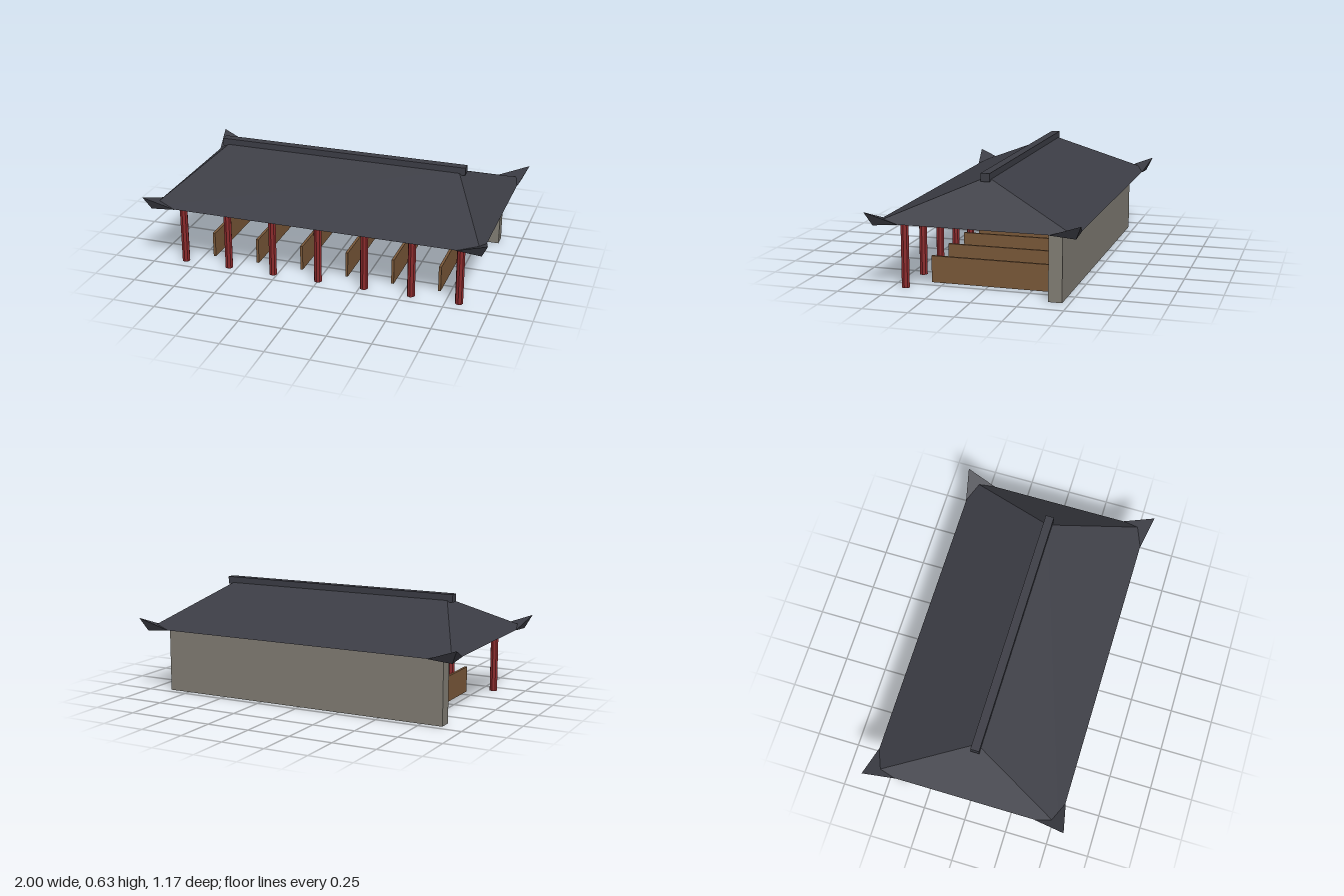
import * as THREE from 'three';

const mat = (name, color) => {
  const m = new THREE.MeshStandardMaterial({ color, flatShading: true });
  m.name = name;
  return m;
};

// Flat-faced solid from corner points and faces (each face a convex loop, counter-clockwise from outside)
function solid(points, faces) {
  const pos = [];
  for (const f of faces)
    for (let i = 1; i < f.length - 1; i++)
      for (const k of [f[0], f[i], f[i + 1]]) pos.push(...points[k]);
  const g = new THREE.BufferGeometry();
  g.setAttribute('position', new THREE.Float32BufferAttribute(pos, 3));
  g.computeVertexNormals();
  return g;
}

export function createModel() {
  const group = new THREE.Group();
  const tile = mat('dark roof tile', 0x3c3d45);
  const stone = mat('grey wall', 0x827e75);
  const red = mat('red lacquer', 0x8b2a2c);
  const wood = mat('brown wood', 0x7a5839);
  const darkWood = mat('dark wood', 0x4e3422);

  const add = (name, geometry, material, x = 0, y = 0, z = 0) => {
    const mesh = new THREE.Mesh(geometry, material);
    mesh.name = name;
    mesh.position.set(x, y, z);
    group.add(mesh);
    return mesh;
  };
  const box = (name, w, h, d, material, x, y, z) =>
    add(name, new THREE.BoxGeometry(w, h, d), material, x, y, z);

  // Hipped roof with a closed underside
  const X = 0.96, Z = 0.55, E = 0.38, R = 0.695, T = 0.61;
  add('hippedRoof', solid(
    [[-X, E, Z], [X, E, Z], [X, E, -Z], [-X, E, -Z], [-R, T, 0], [R, T, 0]],
    [[0, 1, 5, 4], [1, 2, 5], [2, 3, 4, 5], [3, 0, 4], [0, 3, 2, 1]]
  ), tile);
  box('ridgeBeam', 1.48, 0.045, 0.05, tile, 0, 0.6125, 0);

  // Upturned eave corners, mirrored to all four
  for (const sx of [1, -1]) for (const sz of [1, -1]) {
    const pts = [[1, 0.445, 0.587], [0.963, 0.368, 0.553], [0.82, 0.379, 0.551], [0.961, 0.379, 0.41]]
      .map(([x, y, z]) => [x * sx, y, z * sz]);
    let faces = [[0, 3, 2], [0, 2, 1], [0, 1, 3], [1, 2, 3]];
    if (sx * sz < 0) faces = faces.map(f => [...f].reverse());
    add('eaveCorner', solid(pts, faces), tile);
  }

  // Back wall and low bench in front of it
  box('backWall', 1.75, 0.38, 0.075, stone, 0, 0.19, -0.4225);
  box('bench', 1.25, 0.08, 0.09, darkWood, 0, 0.04, -0.325);

  // Front colonnade
  const column = new THREE.CylinderGeometry(0.023, 0.023, 0.38, 8);
  for (let i = -3; i <= 3; i++) add('column', column, red, i * 0.275, 0.19, 0.427);

  // Low partitions between the bays
  for (let i = -2.5; i <= 2.5; i++)
    box('partition', 0.015, 0.15, 0.7, wood, i * 0.275, 0.075, -0.025);

  return group;
}
